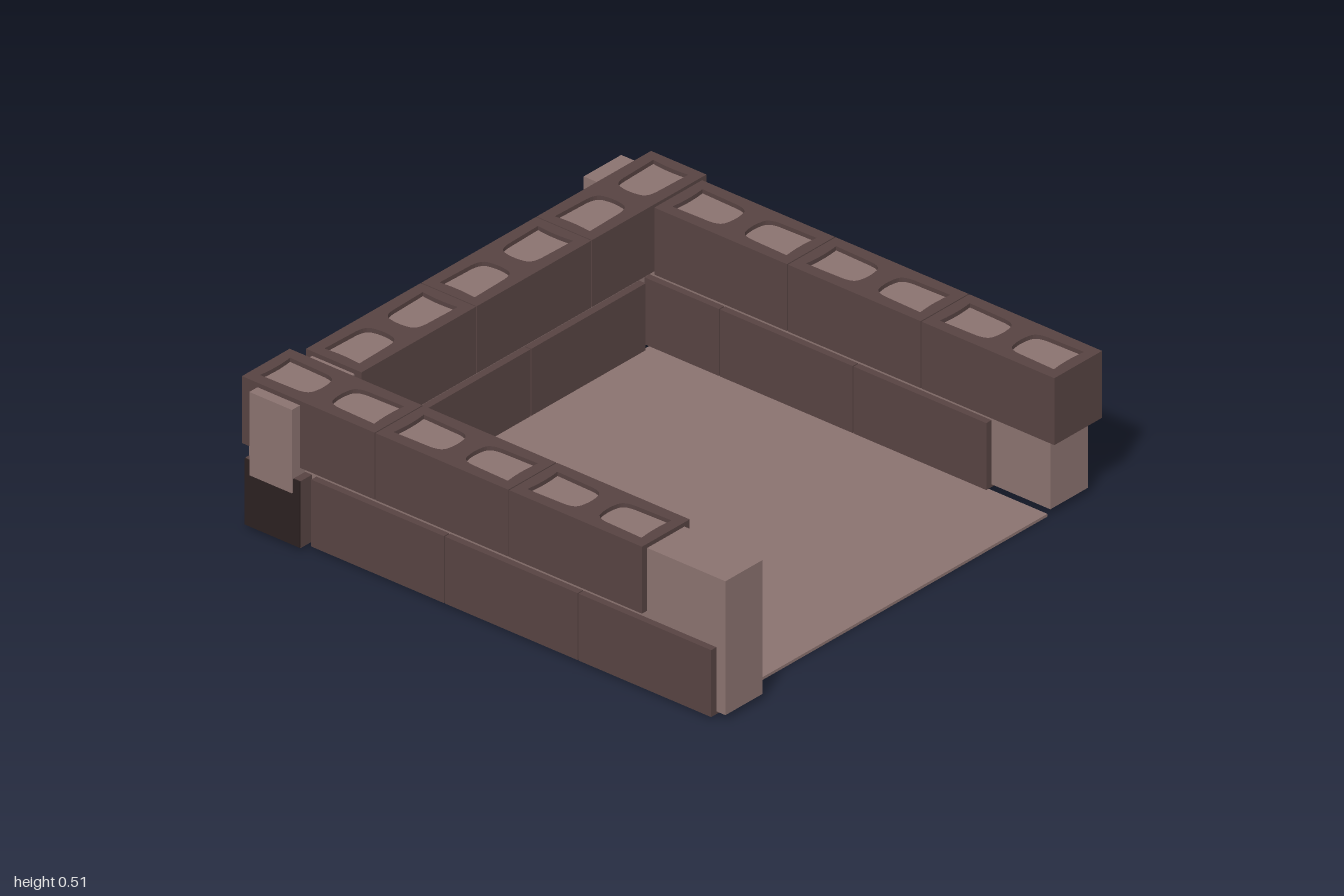
import * as THREE from 'three';

const material = (name, color) => {
  const m = new THREE.MeshStandardMaterial({ color });
  m.name = name;
  return m;
};

export function createModel() {
  const brick = material('brown block', 0x574342);
  const concrete = material('pale concrete', 0x8a726f);
  const dark = material('dark hollow', 0x2b2020);
  const wood = material('yellow wood', 0xa39560);

  const model = new THREE.Group();
  model.name = 'blockEnclosure';

  const add = (parent, name, geometry, mat, x = 0, y = 0, z = 0) => {
    const mesh = new THREE.Mesh(geometry, mat);
    mesh.name = name;
    mesh.position.set(x, y, z);
    parent.add(mesh);
    return mesh;
  };

  // Box given by its lower and upper corners
  const span = (name, mat, [x0, y0, z0], [x1, y1, z1]) =>
    add(model, name, new THREE.BoxGeometry(x1 - x0, y1 - y0, z1 - z0), mat,
      (x0 + x1) / 2, (y0 + y1) / 2, (z0 + z1) / 2);

  const LENGTH = 0.55, WIDTH = 0.228, HEIGHT = 0.24;
  const LOW = 0.01, HIGH = 0.275;

  // Hollow block with two softly tapered openings
  const outline = new THREE.Shape();
  const hx = LENGTH / 2 - 0.002, hz = WIDTH / 2;
  outline.moveTo(-hx, -hz).lineTo(hx, -hz).lineTo(hx, hz).lineTo(-hx, hz).closePath();
  for (const s of [-1, 1]) {
    const hole = new THREE.Path();
    hole.moveTo(s * 0.235, -0.072);
    hole.quadraticCurveTo(s * 0.225, 0, s * 0.235, 0.072);
    hole.lineTo(s * 0.09, 0.068);
    hole.quadraticCurveTo(s * 0.045, 0.066, s * 0.04, 0.04);
    hole.quadraticCurveTo(s * 0.03, 0, s * 0.04, -0.04);
    hole.quadraticCurveTo(s * 0.045, -0.066, s * 0.09, -0.068);
    hole.closePath();
    outline.holes.push(hole);
  }
  const blockGeometry = new THREE.ExtrudeGeometry(outline,
    { depth: HEIGHT, bevelEnabled: false, curveSegments: 5 });
  blockGeometry.rotateX(-Math.PI / 2);
  const hollowGeometry = new THREE.BoxGeometry(0.48, 0.006, 0.155);

  // A row of blocks along x or z, starting at the given end
  const course = (name, axis, start, count, across, y) => {
    const row = new THREE.Group();
    row.name = name;
    for (let i = 0; i < count; i++) {
      const along = start + LENGTH * (i + 0.5);
      const block = new THREE.Group();
      block.name = 'block';
      add(block, 'blockShell', blockGeometry, brick);
      if (y === LOW) add(block, 'hollowUnderside', hollowGeometry, dark, 0, 0.006, 0);
      if (axis === 'x') block.position.set(along, y, across);
      else {
        block.position.set(across, y, along);
        block.rotation.y = Math.PI / 2;
      }
      row.add(block);
    }
    model.add(row);
  };

  const FRONT = 0.825, BACK = -0.818, SIDE = -0.815;
  course('frontLowerCourse', 'x', -0.685, 3, FRONT, LOW);
  course('frontUpperCourse', 'x', -0.97, 3, FRONT, HIGH);
  course('backLowerCourse', 'x', -0.97, 3, BACK, LOW);
  course('backUpperCourse', 'x', -0.69, 3, BACK, HIGH);
  course('sideLowerCourse', 'z', -0.68, 2, SIDE, LOW);
  course('sideUpperCourse', 'z', -0.97, 3, SIDE, HIGH);

  // Concrete cores running through the walls
  span('frontCore', concrete, [-0.96, 0.02, 0.736], [1, 0.5, 0.914]);
  span('backCore', concrete, [-1, 0.02, -0.908], [0.92, 0.5, -0.729]);
  span('sideCore', concrete, [-0.905, 0.02, -0.963], [-0.728, 0.5, 0.42]);
  span('coreOverDoor', concrete, [-0.904, 0.2, 0.42], [-0.729, 0.499, 0.978]);

  // Floor slab
  span('floor', concrete, [-0.71, 0, -0.715], [0.92, 0.01, 0.715]);

  // Corner block with an arched doorway
  const arch = (path, a, b, top, r, base) => {
    path.lineTo(a, base);
    path.lineTo(a, top - r);
    path.quadraticCurveTo(a, top, a + r, top);
    path.lineTo(b - r, top);
    path.quadraticCurveTo(b, top, b, top - r);
    path.lineTo(b, base);
  };
  const doorway = new THREE.Shape();
  doorway.moveTo(0.422, LOW);
  arch(doorway, 0.48, 0.712, 0.215, 0.08, LOW);
  doorway.lineTo(0.968, LOW).lineTo(0.968, LOW + HEIGHT).lineTo(0.422, LOW + HEIGHT);
  doorway.closePath();
  const doorwayGeometry = new THREE.ExtrudeGeometry(doorway,
    { depth: WIDTH, bevelEnabled: false, curveSegments: 8 });
  doorwayGeometry.rotateY(-Math.PI / 2);
  add(model, 'doorwayBlock', doorwayGeometry, brick, SIDE + WIDTH / 2);
  span('doorwayBlockEnd', dark, [-0.928, 0.012, 0.968], [-0.702, 0.249, 0.972]);
  span('doorwayBlockUnderside', dark, [-0.89, 0.006, 0.75], [-0.74, 0.0105, 0.93]);

  // Small arched door, slightly ajar, with a round knob
  const door = new THREE.Group();
  door.name = 'door';
  const leaf = new THREE.Shape();
  leaf.moveTo(-0.22, 0.012);
  arch(leaf, -0.22, 0, 0.208, 0.08, 0.012);
  leaf.closePath();
  const leafGeometry = new THREE.ExtrudeGeometry(leaf,
    { depth: 0.008, bevelEnabled: false, curveSegments: 8 });
  leafGeometry.rotateY(-Math.PI / 2);
  add(door, 'doorLeaf', leafGeometry, wood);
  for (const x of [-0.016, 0.008]) {
    add(door, 'doorKnob', new THREE.SphereGeometry(0.012, 12, 8), wood, x, 0.1, -0.18);
  }
  door.position.set(-0.72, 0, 0.706);
  door.rotation.y = -0.16;
  model.add(door);

  return model;
}
